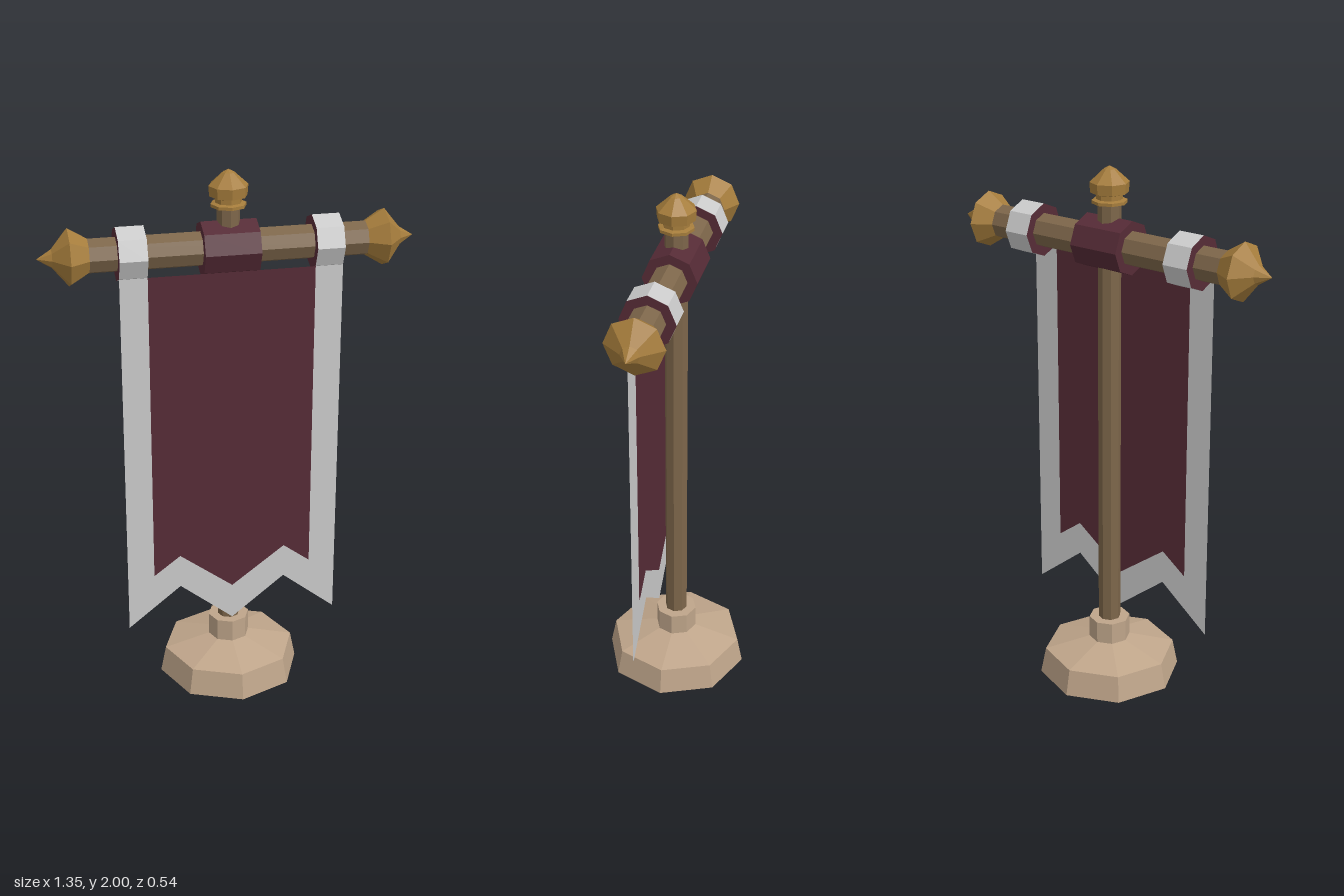
import * as THREE from 'three';

const SIDES = 8;
const BAR_Y = 1.72;
const mat = (color, side = THREE.FrontSide) =>
  new THREE.MeshStandardMaterial({ color, side, flatShading: true });

export function createModel() {
  const model = new THREE.Group();
  const wood = mat(0x7d664a), gold = mat(0xa67d3c), stone = mat(0xbfa58a);
  const red = mat(0x562b36), grey = mat(0xcccccc);

  const add = (name, geometry, material) => {
    const mesh = new THREE.Mesh(geometry, material);
    mesh.name = name;
    model.add(mesh);
    return mesh;
  };
  // Eight-sided turned part from [radius, height] pairs, bottom to top
  const turned = (profile) =>
    new THREE.LatheGeometry(profile.map(([r, y]) => new THREE.Vector2(r, y)), SIDES);
  // Eight-sided cylinder lying along x
  const lying = (radius, length) =>
    new THREE.CylinderGeometry(radius, radius, length, SIDES).rotateZ(-Math.PI / 2);

  // Stand
  add('base', turned([[0, 0], [0.27, 0], [0.25, 0.1], [0.078, 0.145], [0.078, 0.23], [0, 0.23]]), stone);
  add('pole', new THREE.CylinderGeometry(0.042, 0.042, 1.7, SIDES).translate(0, 1.05, 0), wood);
  add('poleKnob', turned([
    [0, 1.868], [0.064, 1.868], [0.064, 1.879], [0.048, 1.883], [0.048, 1.9],
    [0.068, 1.906], [0.071, 1.943], [0.022, 1.988], [0, 2],
  ]), gold);

  // Crossbar with a pointed finial on each end
  add('crossbar', lying(0.063, 1.0), wood).position.y = BAR_Y;
  for (const side of [-1, 1]) {
    const finial = add(side > 0 ? 'leftFinial' : 'rightFinial',
      turned([[0, 0], [0.063, 0], [0.105, 0.068], [0.034, 0.125], [0, 0.178]]), gold);
    finial.position.set(side * 0.497, BAR_Y, 0);
    finial.rotation.z = -side * Math.PI / 2;

    // Hanging loop, grey outside with red ends
    const loop = add(side > 0 ? 'leftLoop' : 'rightLoop', lying(0.098, 0.1), [grey, red, red]);
    loop.position.set(side * 0.35, BAR_Y, 0);
  }
  add('middleLoop', lying(0.098, 0.2), red).position.y = BAR_Y;

  // Flat cloth: red field inside a grey border, hung from the loops
  const top = 1.65, clothZ = 0.07;
  const field = [[-0.3, top], [-0.3, 0.465], [-0.2, 0.54], [0, 0.39], [0.2, 0.54], [0.3, 0.465], [0.3, top]];
  const hem = [[0.4, top], [0.4, 0.25], [0.2, 0.41], [0, 0.25], [-0.2, 0.41], [-0.4, 0.25], [-0.4, top]];
  const sheet = (points) => new THREE.ShapeGeometry(
    new THREE.Shape(points.map(([x, y]) => new THREE.Vector2(x, y)))).translate(0, 0, clothZ);
  add('clothField', sheet(field), mat(0x562b36, THREE.DoubleSide));
  add('clothBorder', sheet([...field, ...hem]), mat(0xcccccc, THREE.DoubleSide));

  return model;
}
